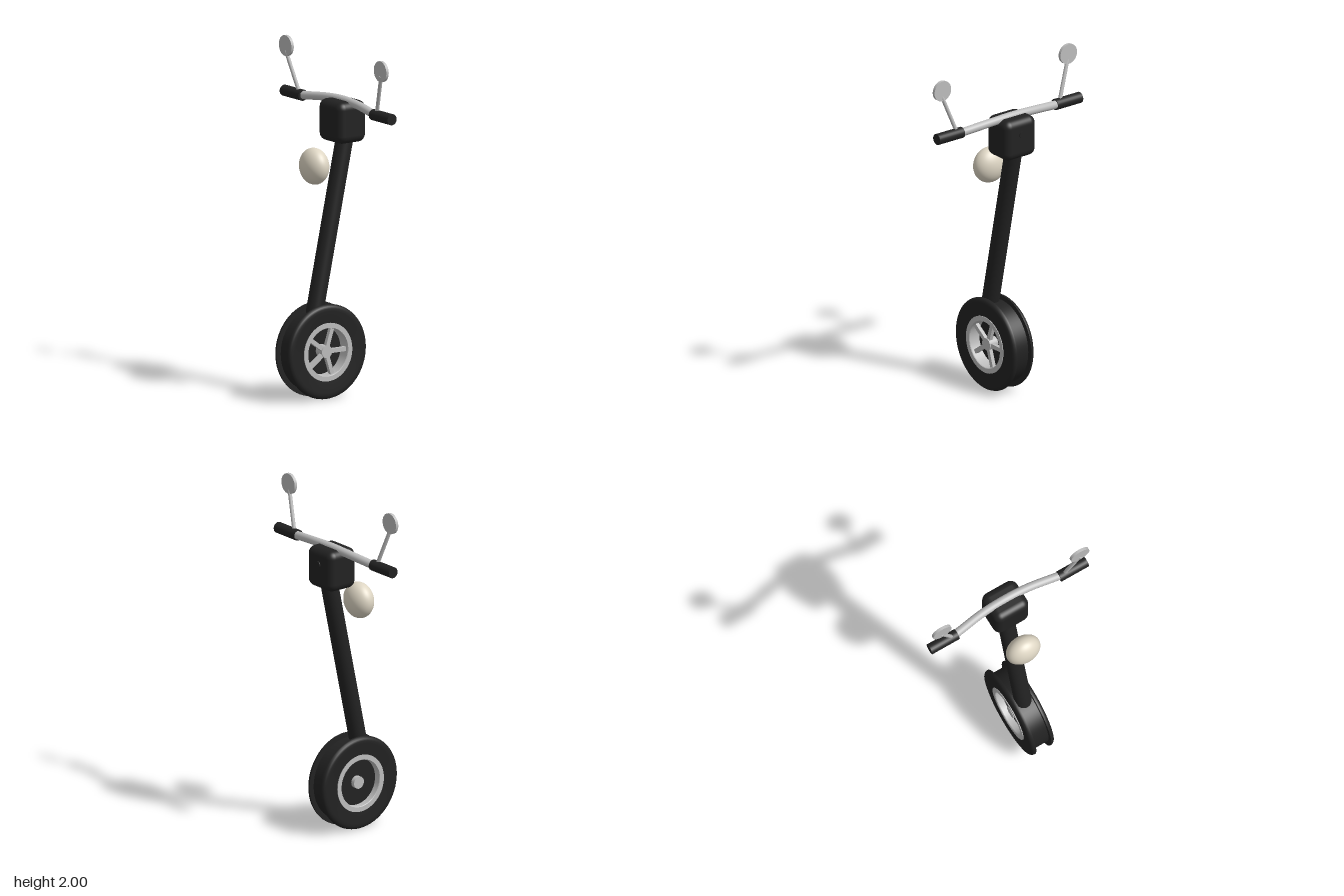
import * as THREE from 'three';
import { toCreasedNormals } from 'three/addons/utils/BufferGeometryUtils.js';
import { RoundedBoxGeometry } from 'three/addons/geometries/RoundedBoxGeometry.js';

const WHEEL_Y = 0.272;

function material(name, color) {
  const m = new THREE.MeshStandardMaterial({ color });
  m.name = name;
  return m;
}

export function createModel() {
  const model = new THREE.Group();
  model.name = 'frontFork';
  const black = material('black', 0x222222);
  const metal = material('metal', 0xbdbdbd);
  const cream = material('cream', 0xded6c4);

  function add(name, geometry, mat, parent = model) {
    const mesh = new THREE.Mesh(geometry, mat);
    mesh.name = name;
    parent.add(mesh);
    return mesh;
  }

  // Cylinder between two points
  function rod(name, a, b, radius, mat, segments = 24) {
    const from = new THREE.Vector3(...a), to = new THREE.Vector3(...b);
    const dir = to.clone().sub(from);
    const mesh = add(name, new THREE.CylinderGeometry(radius, radius, dir.length(), segments), mat);
    mesh.position.copy(from).add(to).multiplyScalar(0.5);
    mesh.quaternion.setFromUnitVectors(new THREE.Vector3(0, 1, 0), dir.normalize());
    return mesh;
  }

  // Lathe around the x axis from [radius, x] pairs
  function wheelLathe(profile) {
    const g = new THREE.LatheGeometry(profile.map(([r, x]) => new THREE.Vector2(r, x)), 64);
    return toCreasedNormals(g.rotateZ(-Math.PI / 2), 0.6);
  }

  // Wheel: tyre with two raised lips and a sunken centre
  const wheel = new THREE.Group();
  wheel.name = 'wheel';
  wheel.position.y = WHEEL_Y;
  model.add(wheel);
  const half = [[0.165, 0.07], [0.235, 0.075], [0.25, 0.075], [0.262, 0.072], [0.269, 0.065], [0.272, 0.056], [0.272, 0.049], [0.243, 0.049]];
  const tyre = [...half.map(([r, x]) => [r, -x]), ...half.slice().reverse()];
  add('tyre', wheelLathe(tyre), black, wheel);
  add('rim', wheelLathe([[0.168, -0.074], [0.168, 0.074], [0.14, 0.074], [0.137, 0.07],
    [0.137, -0.07], [0.14, -0.074], [0.168, -0.074]]), metal, wheel);
  const disc = add('wheelDisc', new THREE.CylinderGeometry(0.14, 0.14, 0.035, 48), black, wheel);
  disc.rotation.z = Math.PI / 2;
  disc.position.x = -0.015;
  const hub = add('hub', new THREE.CylinderGeometry(0.036, 0.036, 0.12, 24), metal, wheel);
  hub.rotation.z = Math.PI / 2;
  hub.position.x = 0.002;

  // Five spokes on the left side
  for (let i = 0; i < 5; i++) {
    const g = new THREE.BoxGeometry(0.022, 0.025, 0.12).translate(0.045, 0, -0.085);
    add('spoke', g, metal, wheel).rotation.x = (i * Math.PI * 2) / 5;
  }

  // Leaning steering column
  rod('column', [0, 0.42, 0.058], [0, 1.55, -0.184], 0.05, black, 32);

  // Rounded head box with a small cap on its back
  add('headBox', new RoundedBoxGeometry(0.224, 0.24, 0.196, 6, 0.045), black).position.set(0, 1.58, -0.152);
  rod('backCap', [0, 1.61, -0.24], [0, 1.61, -0.255], 0.02, black);

  // Ellipsoid lamp
  const lamp = add('lamp', new THREE.SphereGeometry(1, 40, 28), cream);
  lamp.scale.set(0.105, 0.105, 0.074);
  lamp.position.set(0, 1.337, 0.045);

  // Bowed handlebar
  const bar = new THREE.CatmullRomCurve3([
    [-0.4, 1.667, -0.12], [-0.33, 1.671, -0.128], [-0.15, 1.689, -0.15], [0, 1.696, -0.155],
    [0.15, 1.689, -0.15], [0.33, 1.671, -0.128], [0.4, 1.667, -0.12],
  ].map((p) => new THREE.Vector3(...p)));
  add('handlebar', new THREE.TubeGeometry(bar, 48, 0.024, 20), metal);

  // Grips and mirrors on both sides
  for (const s of [-1, 1]) {
    rod('grip', [s * 0.335, 1.669, -0.123], [s * 0.515, 1.669, -0.123], 0.032, black);
    rod('mirrorStem', [s * 0.37, 1.68, -0.122], [s * 0.455, 1.912, -0.09], 0.011, metal, 16);
    rod('mirror', [s * 0.453, 1.94, -0.101], [s * 0.453, 1.94, -0.084], 0.06, metal, 40);
  }

  return model;
}
